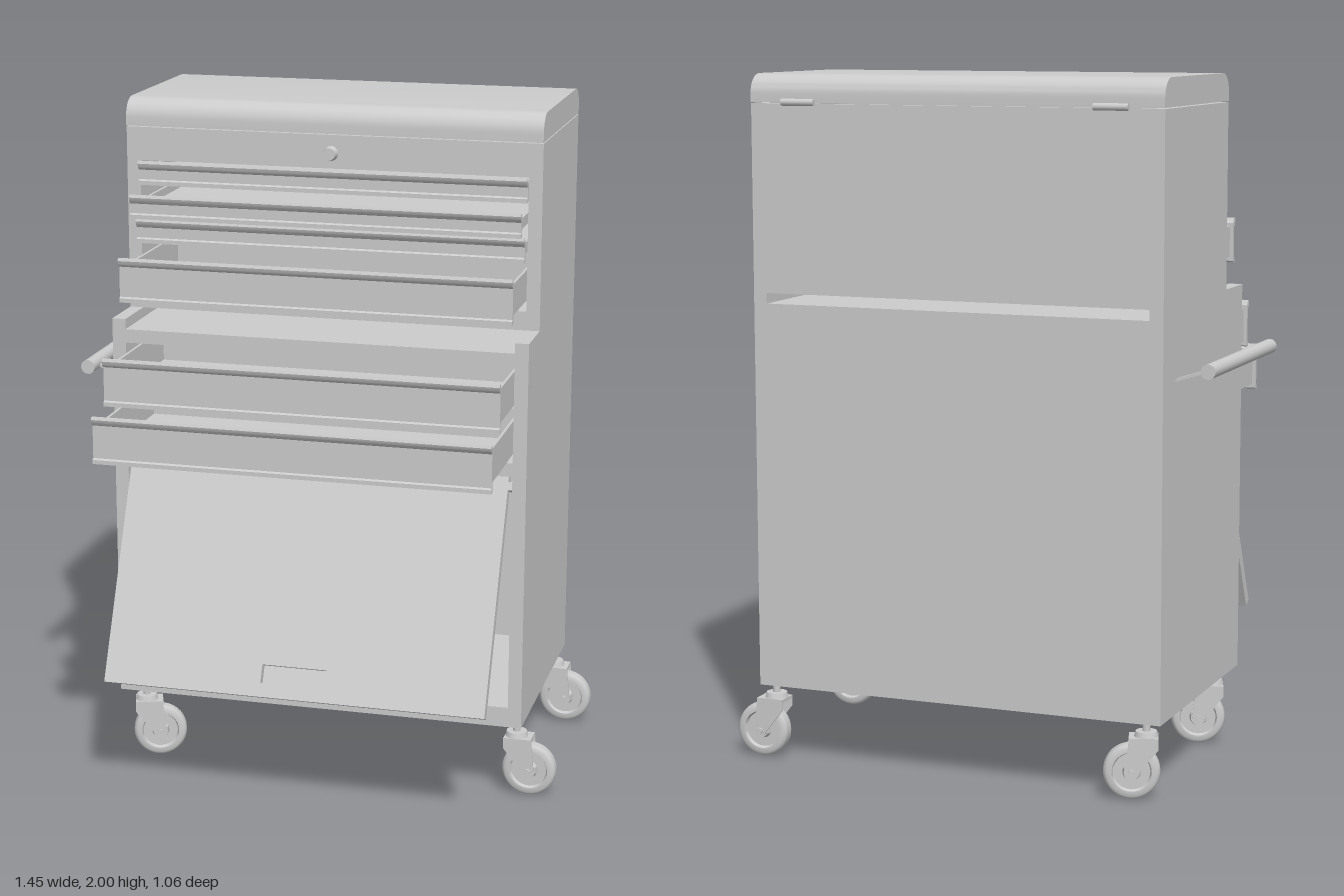
import * as THREE from 'three';
import { toCreasedNormals } from 'three/addons/utils/BufferGeometryUtils.js';

const CX = 0.015;              // middle of the cabinet across its width
const X0 = -0.6, X1 = 0.63;    // outer sides
const IX0 = -0.56, IX1 = 0.59; // opening between the side walls
const material = new THREE.MeshStandardMaterial({ color: 0xcccccc, side: THREE.DoubleSide });

function add(parent, name, geometry) {
  const mesh = new THREE.Mesh(geometry, material);
  mesh.name = name;
  parent.add(mesh);
  return mesh;
}

// Box given by its limits
function box(parent, name, x0, x1, y0, y1, z0, z1) {
  const g = new THREE.BoxGeometry(x1 - x0, y1 - y0, z1 - z0);
  g.translate((x0 + x1) / 2, (y0 + y1) / 2, (z0 + z1) / 2);
  return add(parent, name, g);
}

// Side profile of [z, y] points pushed across from x0 to x1
function acrossX(points, x0, x1) {
  const shape = new THREE.Shape(points.map(([z, y]) => new THREE.Vector2(-z, y)));
  const g = new THREE.ExtrudeGeometry(shape, { depth: x1 - x0, bevelEnabled: false });
  g.rotateY(Math.PI / 2);
  g.translate(x0, 0, 0);
  return toCreasedNormals(g, 0.5);
}

function buildCabinet() {
  const cabinet = new THREE.Group();
  cabinet.name = 'cabinet';
  // Stepped side walls
  const side = [[-0.51, 0.23], [0.22, 0.23], [0.22, 1.38], [0.06, 1.38], [0.06, 1.917], [-0.51, 1.917]];
  add(cabinet, 'sideWallRight', acrossX(side, X0, IX0));
  add(cabinet, 'sideWallLeft', acrossX(side, IX1, X1));
  // Back, floors and shelves; the gap between chest and base runs right through
  box(cabinet, 'lowerBack', IX0, IX1, 0.23, 1.35, -0.51, -0.49);
  box(cabinet, 'upperBack', IX0, IX1, 1.38, 1.917, -0.51, -0.49);
  box(cabinet, 'bottomPlate', IX0, IX1, 0.23, 0.25, -0.49, 0.2);
  box(cabinet, 'drawerShelf', IX0, IX1, 1.0, 1.02, -0.49, 0.2);
  box(cabinet, 'baseTop', IX0, IX1, 1.33, 1.35, -0.49, 0.2);
  box(cabinet, 'chestFloor', IX0, IX1, 1.38, 1.4, -0.49, 0.04);
  // Front rails
  for (const [y0, y1, z] of [[0.23, 0.29, 0.22], [0.99, 1.03, 0.22], [1.31, 1.35, 0.22],
    [1.38, 1.435, 0.06], [1.82, 1.917, 0.06]]) {
    box(cabinet, 'frontRail', IX0, IX1, y0, y1, z - 0.02, z);
  }
  return cabinet;
}

function buildLid() {
  const lid = new THREE.Group();
  lid.name = 'lid';
  const r = 0.055, profile = [[-0.512, 1.92], [0.063, 1.92]];
  for (const [cz, start] of [[0.063 - r, 0], [-0.512 + r, Math.PI / 2]]) {
    for (let i = 0; i <= 10; i++) {
      const a = start + (i / 10) * Math.PI / 2;
      profile.push([cz + r * Math.cos(a), 2 - r + r * Math.sin(a)]);
    }
  }
  add(lid, 'lidShell', acrossX(profile, X0, X1));
  for (const x of [-0.45, 0.48]) {
    const hinge = add(lid, 'hinge', new THREE.CylinderGeometry(0.01, 0.01, 0.1, 16));
    hinge.rotation.z = Math.PI / 2;
    hinge.position.set(x, 1.921, -0.518);
  }
  return lid;
}

// Open tray with a lipped front; z is the front face, y0 to y1 the front's height
function buildDrawer(y0, y1, z) {
  const drawer = new THREE.Group();
  drawer.name = 'drawer';
  const front = [
    [z - 0.02, y0 + 0.004], [z - 0.012, y0], [z - 0.004, y0], [z - 0.004, y0 + 0.012],
    [z - 0.01, y0 + 0.016], [z - 0.01, y1 - 0.026], [z - 0.004, y1 - 0.022],
    [z, y1 - 0.016], [z + 0.003, y1 - 0.007], [z, y1], [z - 0.01, y1],
    [z - 0.014, y1 - 0.008], [z - 0.02, y1 - 0.014],
  ];
  add(drawer, 'drawerFront', acrossX(front, IX0, IX1));
  const a = IX0 + 0.01, b = IX1 - 0.01, zb = z - 0.5, zf = z - 0.018;
  const bottom = y0 + 0.015, top = y1 - 0.025;
  box(drawer, 'drawerFloor', a, b, bottom, bottom + 0.006, zb, zf);
  box(drawer, 'drawerSide', a, a + 0.008, bottom, top, zb, zf);
  box(drawer, 'drawerSide', b - 0.008, b, bottom, top, zb, zf);
  box(drawer, 'drawerBack', a, b, bottom, top, zb, zb + 0.008);
  return drawer;
}

function rectangle(Type, x0, x1, y0, y1) {
  const p = new Type();
  p.moveTo(x0, y0);
  p.lineTo(x1, y0);
  p.lineTo(x1, y1);
  p.lineTo(x0, y1);
  p.closePath();
  return p;
}

// Flap door swung out from its top edge, with a sunken grip
function buildDoor() {
  const door = new THREE.Group();
  door.name = 'door';
  const panel = rectangle(THREE.Shape, -0.563, 0.563, -0.69, 0);
  panel.holes.push(rectangle(THREE.Path, -0.095, 0.095, -0.65, -0.597));
  const g = new THREE.ExtrudeGeometry(panel, { depth: 0.03, bevelEnabled: false });
  g.translate(0, 0, -0.03);
  add(door, 'doorPanel', g);
  box(door, 'gripRecess', -0.095, 0.095, -0.65, -0.597, -0.03, -0.025);
  for (const s of [-1, 1]) box(door, 'doorPivot', s * 0.569 - 0.006, s * 0.569 + 0.006, -0.04, -0.015, -0.03, 0);
  door.position.set(CX, 0.987, 0.207);
  door.rotation.x = -0.447;
  return door;
}

function buildPushHandle() {
  const handle = new THREE.Group();
  handle.name = 'pushHandle';
  const bar = add(handle, 'handleBar', new THREE.CylinderGeometry(0.021, 0.021, 0.595, 24));
  bar.rotation.x = Math.PI / 2;
  bar.position.set(-0.706, 1.21, -0.148);
  for (const z of [-0.385, 0.08]) {
    const arm = add(handle, 'handleArm', new THREE.BoxGeometry(0.115, 0.008, 0.04));
    arm.position.set(-0.652, 1.193, z);
    arm.rotation.z = -0.31;
  }
  return handle;
}

// Swivel caster; the wheel trails towards local +x
function buildCaster(x, z, swivel) {
  const caster = new THREE.Group();
  caster.name = 'caster';
  const stem = add(caster, 'stem', new THREE.CylinderGeometry(0.011, 0.011, 0.05, 16));
  stem.position.y = 0.207;
  const collar = add(caster, 'swivelCollar', new THREE.CylinderGeometry(0.03, 0.034, 0.016, 24));
  collar.position.y = 0.189;
  // Fork: crown and two tapering legs
  box(caster, 'forkCrown', -0.034, 0.048, 0.172, 0.182, -0.034, 0.034);
  const leg = new THREE.Shape();
  leg.moveTo(-0.034, 0.182);
  leg.lineTo(-0.034, 0.15);
  leg.lineTo(0.022, 0.08);
  leg.absarc(0.04, 0.083, 0.018, Math.PI, Math.PI * 2, false);
  leg.lineTo(0.048, 0.182);
  leg.closePath();
  for (const s of [-1, 1]) {
    const g = new THREE.ExtrudeGeometry(leg, { depth: 0.005, bevelEnabled: false });
    const m = add(caster, 'forkLeg', toCreasedNormals(g, 0.5));
    m.position.z = s * 0.0315 - 0.0025;
  }
  // Wheel: rounded tread, sunken web and raised hub
  const half = [[0.08, 0.008], [0.077, 0.017], [0.07, 0.022], [0.056, 0.022], [0.052, 0.012],
    [0.026, 0.012], [0.022, 0.027], [0, 0.027]];
  const profile = [...half.map(([r, h]) => [r, -h]).reverse(), ...half];
  const wheelGeometry = new THREE.LatheGeometry(profile.map(([r, h]) => new THREE.Vector2(r, h)), 36);
  const wheel = add(caster, 'wheel', toCreasedNormals(wheelGeometry, 0.7));
  wheel.rotation.x = Math.PI / 2;
  wheel.position.set(0.04, 0.083, 0);
  const axle = add(caster, 'axle', new THREE.CylinderGeometry(0.009, 0.009, 0.082, 12));
  axle.rotation.x = Math.PI / 2;
  axle.position.copy(wheel.position);
  caster.position.set(x, 0, z);
  caster.rotation.y = swivel;
  return caster;
}

export function createModel() {
  const model = new THREE.Group();
  model.name = 'toolCabinet';
  model.add(buildCabinet(), buildLid(), buildDoor(), buildPushHandle());
  // Drawers from top to bottom, each pulled out by its own amount
  for (const [y0, y1, z] of [[1.75, 1.82, 0.083], [1.665, 1.735, 0.166], [1.583, 1.655, 0.11],
    [1.44, 1.57, 0.272], [1.17, 1.31, 0.425], [1.027, 1.165, 0.525]]) {
    model.add(buildDrawer(y0, y1, z));
  }
  // Key lock above the drawers
  const lock = add(model, 'lock', new THREE.CylinderGeometry(0.017, 0.022, 0.022, 24));
  lock.rotation.x = Math.PI / 2;
  lock.position.set(CX, 1.864, 0.069);
  for (const z of [0.155, -0.452]) {
    model.add(buildCaster(-0.54, z, 0.33), buildCaster(0.606, z, 0));
  }
  return model;
}
